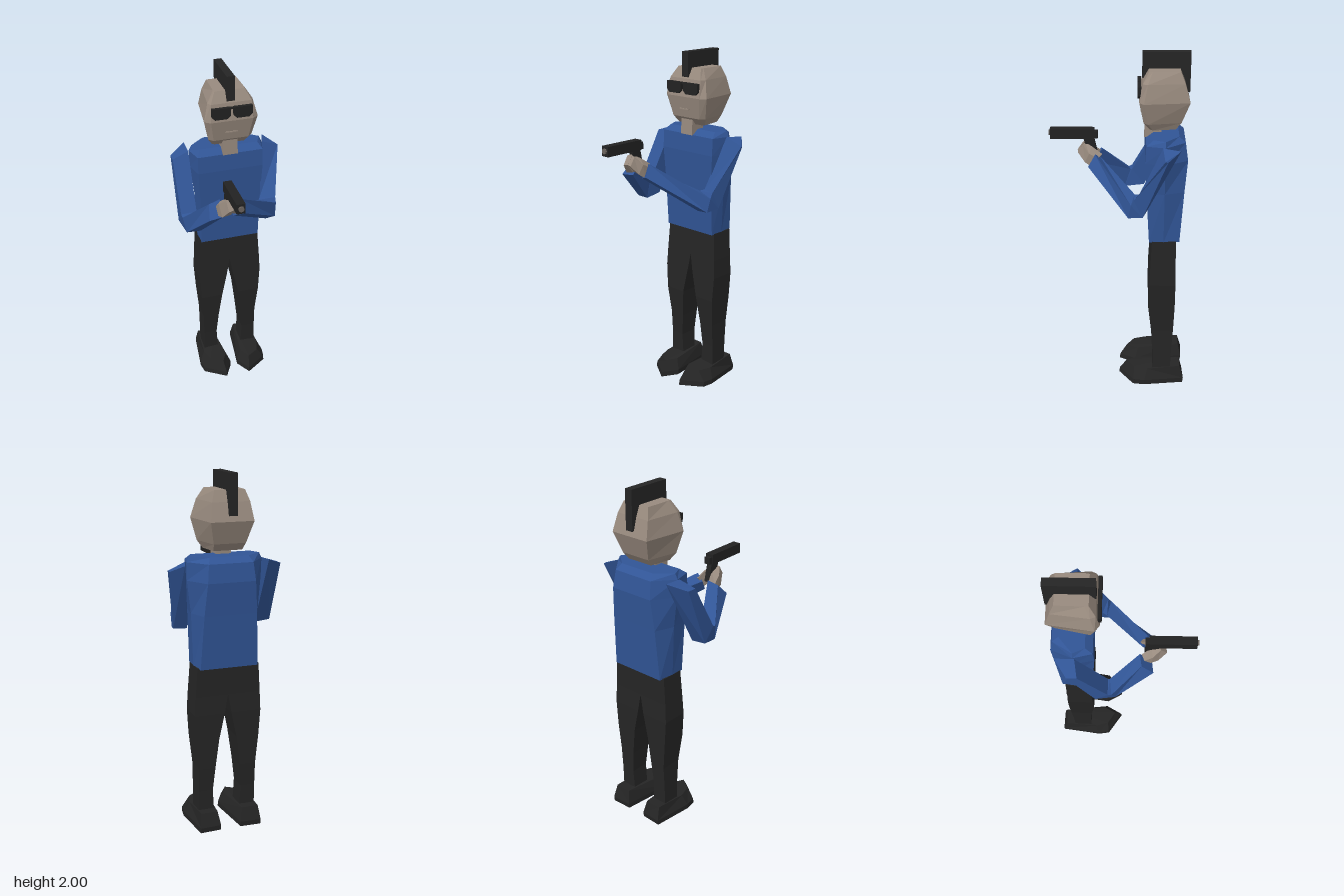
import * as THREE from 'three';

const mat = (name, color) => {
  const m = new THREE.MeshStandardMaterial({ color, flatShading: true });
  m.name = name;
  return m;
};

// Skin a closed solid over rings of [x, y, z] points, with flat end caps
function loft(rings) {
  const tris = [];
  const n = rings[0].length;
  for (let r = 0; r < rings.length - 1; r++) {
    for (let i = 0; i < n; i++) {
      const j = (i + 1) % n;
      const a = rings[r][i], b = rings[r][j], c = rings[r + 1][j], d = rings[r + 1][i];
      tris.push([a, b, c], [a, c, d]);
    }
  }
  const last = rings[rings.length - 1];
  for (let i = 1; i < n - 1; i++) {
    tris.push([rings[0][0], rings[0][i + 1], rings[0][i]], [last[0], last[i], last[i + 1]]);
  }
  // Turn the faces outward whichever way the rings run
  let volume = 0;
  const v = p => new THREE.Vector3(...p);
  for (const [a, b, c] of tris) volume += v(a).dot(v(b).cross(v(c)));
  const pos = tris.flatMap(([a, b, c]) => (volume < 0 ? [a, c, b] : [a, b, c])).flat();
  const g = new THREE.BufferGeometry();
  g.setAttribute('position', new THREE.Float32BufferAttribute(pos, 3));
  g.computeVertexNormals();
  return g;
}

// Six-sided level ring: front, side and back corner pairs
const hex = (y, xf, zf, xs, zs, xb, zb) => [
  [-xf, y, zf], [xf, y, zf], [xs, y, zs], [xb, y, zb], [-xb, y, zb], [-xs, y, zs]];

// Level rectangle
const rect = (y, x0, x1, z0, z1) => [[x0, y, z0], [x1, y, z0], [x1, y, z1], [x0, y, z1]];

export function createModel() {
  const model = new THREE.Group();
  model.name = 'figure';
  const skin = mat('skin', 0x988a7e);
  const blue = mat('blueShirt', 0x315596);
  const black = mat('blackCloth', 0x252525);
  const dark = mat('darkMetal', 0x222222);
  const grey = mat('muzzleGrey', 0x6b645e);

  const add = (name, geometry, material, parent = model) => {
    const m = new THREE.Mesh(geometry, material);
    m.name = name;
    parent.add(m);
    return m;
  };
  const box = (name, material, x0, x1, y0, y1, z0, z1) =>
    add(name, new THREE.BoxGeometry(x1 - x0, y1 - y0, z1 - z0), material)
      .position.set((x0 + x1) / 2, (y0 + y1) / 2, (z0 + z1) / 2);

  // Head and neck
  add('head', loft([
    hex(1.59, 0.085, -0.175, 0.1, -0.19, 0.08, -0.315),
    hex(1.63, 0.1, -0.14, 0.125, -0.165, 0.09, -0.345),
    hex(1.75, 0.12, -0.115, 0.153, -0.14, 0.12, -0.388),
    hex(1.85, 0.115, -0.132, 0.127, -0.16, 0.105, -0.36),
    hex(1.91, 0.085, -0.165, 0.088, -0.185, 0.085, -0.335),
  ]), skin);
  add('neck', loft([
    rect(1.53, -0.045, 0.04, -0.24, -0.145),
    rect(1.62, -0.045, 0.04, -0.24, -0.15),
  ]), skin);
  box('mouth', skin, -0.038, 0.034, 1.676, 1.682, -0.135, -0.124);

  // Crest of hair, reaching lower at the back
  add('hairCrest', loft([-0.025, 0.02].map(x => [
    [x, 2, -0.13], [x, 1.86, -0.13], [x, 1.78, -0.39], [x, 2, -0.39]])), black);

  // Sunglasses
  for (const [name, x0] of [['rightLens', -0.117], ['leftLens', 0.007]]) {
    const outline = [[0, 1.832], [0, 1.785], [0.018, 1.768], [0.088, 1.768], [0.106, 1.785], [0.106, 1.832]];
    add(name, loft([-0.125, -0.105].map(z => outline.map(([x, y]) => [x0 + x, y, z]))), dark);
  }
  box('lensBridge', dark, -0.015, 0.01, 1.82, 1.83, -0.125, -0.112);

  // Shirt body
  add('torso', loft([
    hex(0.95, 0.175, -0.178, 0.178, -0.26, 0.165, -0.35),
    hex(1.25, 0.18, -0.16, 0.19, -0.26, 0.15, -0.37),
    hex(1.43, 0.19, -0.15, 0.212, -0.26, 0.135, -0.385),
    hex(1.53, 0.19, -0.155, 0.215, -0.26, 0.125, -0.37),
    hex(1.56, 0.17, -0.195, 0.2, -0.26, 0.11, -0.335),
  ]), blue);

  // Legs and shoes, mirrored
  for (const [side, s] of [['right', -1], ['left', 1]]) {
    add(side + 'Leg', loft([
      rect(0.955, 0, s * 0.178, -0.332, -0.195),
      rect(0.79, 0, s * 0.188, -0.332, -0.188),
      rect(0.68, s * 0.02, s * 0.193, -0.335, -0.183),
      rect(0.53, s * 0.052, s * 0.183, -0.335, -0.18),
      rect(0.36, s * 0.072, s * 0.168, -0.33, -0.2),
      rect(0.22, s * 0.085, s * 0.168, -0.322, -0.21),
      rect(0.06, s * 0.075, s * 0.168, -0.318, -0.212),
    ]), black);
    const sole = [[0.06, -0.39], [0.18, -0.395], [0.21, -0.16], [0.2, -0.095], [0.075, -0.01], [0.022, -0.105]];
    const upper = [[0.075, -0.375], [0.17, -0.375], [0.18, -0.18], [0.155, -0.1], [0.085, -0.055], [0.05, -0.125]];
    add(side + 'Shoe', loft([
      sole.map(([x, z]) => [s * x, 0, z]),
      sole.map(([x, z]) => [s * x, 0.03, z - 0.004]),
      upper.map(([x, z]) => [s * x, z < -0.3 ? 0.11 : 0.093, z]),
    ]), black);
  }

  // Sleeves: shoulder, two elbow rings, wrist
  add('rightSleeve', loft([
    [[-0.315, 1.5, -0.235], [-0.22, 1.53, -0.25], [-0.22, 1.535, -0.355], [-0.315, 1.5, -0.29]],
    [[-0.315, 1.23, -0.08], [-0.225, 1.235, -0.08], [-0.225, 1.14, -0.15], [-0.315, 1.15, -0.15]],
    [[-0.312, 1.22, -0.06], [-0.225, 1.235, -0.07], [-0.215, 1.13, -0.035], [-0.295, 1.13, -0.04]],
    [[-0.2, 1.38, 0.1], [-0.135, 1.395, 0.09], [-0.135, 1.32, 0.155], [-0.213, 1.315, 0.165]],
  ]), blue);
  add('leftSleeve', loft([
    [[0.316, 1.49, -0.255], [0.215, 1.53, -0.245], [0.246, 1.525, -0.34], [0.31, 1.485, -0.27]],
    [[0.25, 1.24, -0.09], [0.165, 1.24, -0.12], [0.18, 1.14, -0.16], [0.255, 1.14, -0.14]],
    [[0.25, 1.21, -0.075], [0.15, 1.235, -0.095], [0.18, 1.13, -0.05], [0.24, 1.13, -0.06]],
    [[-0.03, 1.4, 0.13], [-0.085, 1.37, 0.105], [-0.075, 1.31, 0.14], [-0.015, 1.33, 0.17]],
  ]), blue);

  // Hands meeting around the grip
  add('rightHand', loft([
    [[-0.165, 1.37, 0.115], [-0.135, 1.39, 0.1], [-0.125, 1.34, 0.14], [-0.162, 1.33, 0.15]],
    [[-0.16, 1.41, 0.16], [-0.115, 1.43, 0.15], [-0.1, 1.35, 0.19], [-0.15, 1.34, 0.19]],
    [[-0.13, 1.445, 0.2], [-0.1, 1.455, 0.19], [-0.095, 1.4, 0.23], [-0.125, 1.395, 0.235]],
  ]), skin);
  add('leftHand', loft([
    [[-0.035, 1.375, 0.115], [-0.065, 1.39, 0.09], [-0.075, 1.33, 0.13], [-0.04, 1.32, 0.15]],
    [[-0.04, 1.4, 0.165], [-0.08, 1.43, 0.15], [-0.09, 1.35, 0.18], [-0.05, 1.345, 0.19]],
    [[-0.075, 1.44, 0.2], [-0.1, 1.45, 0.19], [-0.1, 1.4, 0.23], [-0.075, 1.395, 0.23]],
  ]), skin);

  // Pistol
  box('pistolSlide', dark, -0.13, -0.082, 1.473, 1.53, 0.137, 0.388);
  box('pistolHammer', dark, -0.124, -0.088, 1.475, 1.515, 0.117, 0.14);
  add('pistolGrip', loft([
    rect(1.48, -0.122, -0.09, 0.14, 0.2),
    rect(1.37, -0.122, -0.09, 0.115, 0.17),
  ]), dark);
  const muzzle = add('pistolMuzzle', new THREE.CylinderGeometry(0.016, 0.016, 0.03, 8), grey);
  muzzle.rotation.x = Math.PI / 2;
  muzzle.position.set(-0.106, 1.503, 0.382);

  return model;
}
